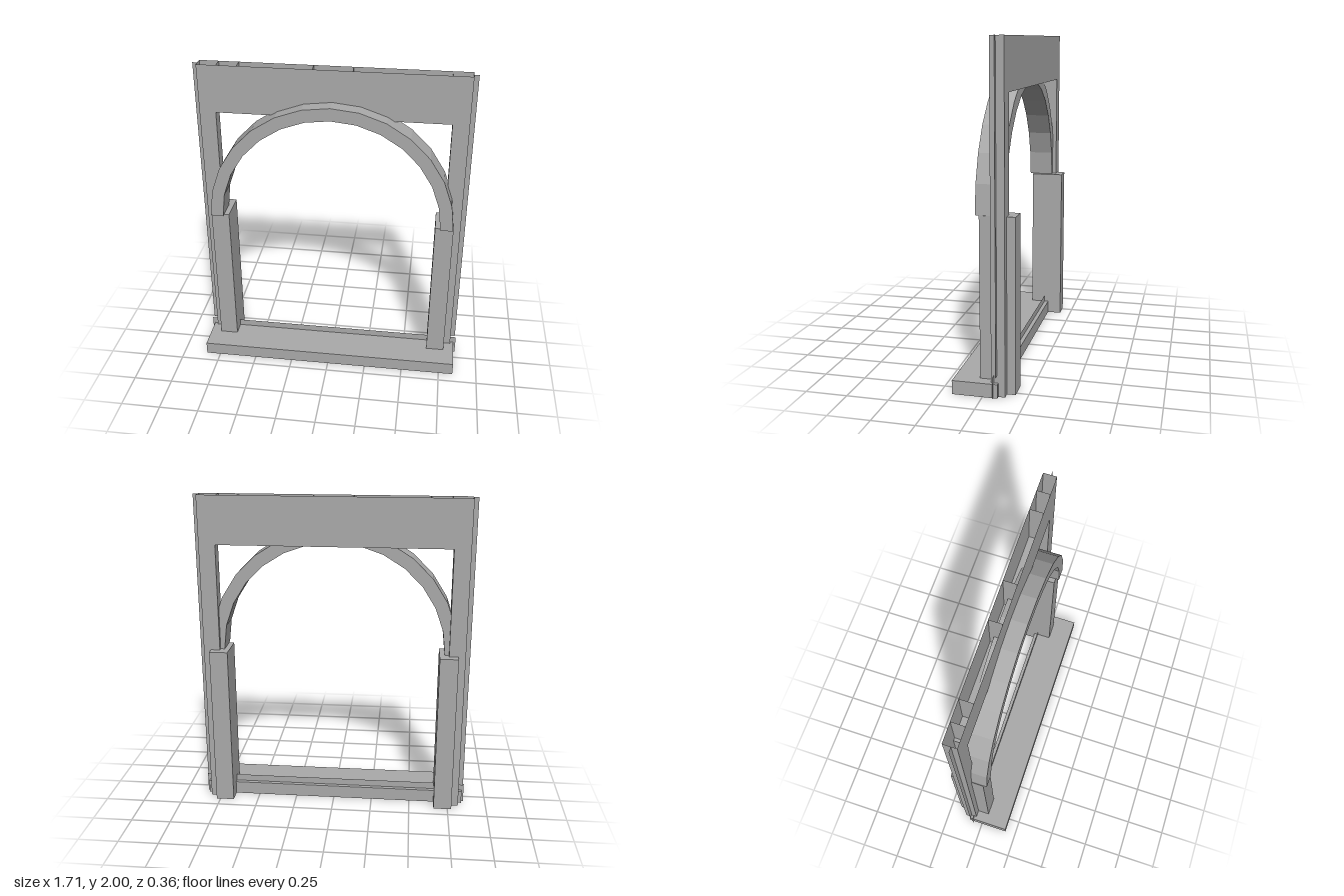
import * as THREE from 'three';

export function createModel() {
  const model = new THREE.Group();
  model.name = 'archedDoorway';

  const stone = new THREE.MeshStandardMaterial({ color: 0xaaaaaa, side: THREE.DoubleSide });
  stone.name = 'grey stone';

  const add = (parent, name, geometry, x = 0, y = 0, z = 0) => {
    const mesh = new THREE.Mesh(geometry, stone);
    mesh.name = name;
    mesh.position.set(x, y, z);
    parent.add(mesh);
    return mesh;
  };
  // box given by its limits on each axis
  const block = (name, x0, x1, y0, y1, z0, z1) =>
    add(model, name, new THREE.BoxGeometry(x1 - x0, y1 - y0, z1 - z0),
      (x0 + x1) / 2, (y0 + y1) / 2, (z0 + z1) / 2);

  // sill and posts
  block('sill', -0.843, 0.843, 0, 0.082, -0.088, 0.178);
  for (const s of [-1, 1]) {
    const post = block(s > 0 ? 'leftPost' : 'rightPost', -0.0575, 0.0575, 0, 1.03, -0.178, 0.03);
    post.position.x = s * 0.7175;
  }

  // faceted half-round arch
  const segments = 14, outer = 0.772, inner = 0.692;
  const ring = [];
  for (let i = 0; i <= segments; i++) {
    const a = (Math.PI * i) / segments;
    ring.push(new THREE.Vector2(Math.cos(a) * outer, Math.sin(a) * outer));
  }
  for (let i = segments; i >= 0; i--) {
    const a = (Math.PI * i) / segments;
    ring.push(new THREE.Vector2(Math.cos(a) * inner, Math.sin(a) * inner));
  }
  add(model, 'arch', new THREE.ExtrudeGeometry(new THREE.Shape(ring),
    { depth: 0.155, bevelEnabled: false }), 0, 1.03, -0.102);

  // hollow frame with an open top
  const frame = new THREE.Group();
  frame.name = 'frame';
  model.add(frame);
  const W = 0.82, w = 0.718, H = 2, h = 1.7, front = -0.046, back = -0.127;
  const depth = front - back, mid = (front + back) / 2;
  const outline = new THREE.Shape([
    [-W, 0], [-w, 0], [-w, h], [w, h], [w, 0], [W, 0], [W, H], [-W, H],
  ].map(([x, y]) => new THREE.Vector2(x, y)));
  add(frame, 'frameFront', new THREE.ShapeGeometry(outline), 0, 0, front);
  add(frame, 'frameBack', new THREE.ShapeGeometry(outline), 0, 0, back).rotation.y = Math.PI;

  // sheet facing sideways, normal towards sign s
  const sideSheet = (name, x, y0, y1, s) => {
    add(frame, name, new THREE.PlaneGeometry(depth, y1 - y0), x, (y0 + y1) / 2, mid)
      .rotation.y = (s * Math.PI) / 2;
  };
  for (const s of [-1, 1]) {
    sideSheet('frameOuterSide', s * W, 0, H, s);
    sideSheet('frameInnerSide', s * w, 0, h, -s);
    for (const x of [0.7, 0.575, 0.12]) sideSheet('headerDivider', s * x, h, H, s);
  }
  add(frame, 'headerUnderside', new THREE.PlaneGeometry(2 * w, depth), 0, h, mid)
    .rotation.x = Math.PI / 2;

  // thin edge strips and threshold plate
  for (const s of [-1, 1]) {
    add(model, 'edgeStrip', new THREE.PlaneGeometry(0.03, H - 0.125),
      s * (W + 0.015), (H + 0.125) / 2, -0.08);
  }
  add(model, 'threshold', new THREE.PlaneGeometry(1.714, 0.125), 0, 0.0625, -0.062);

  return model;
}
